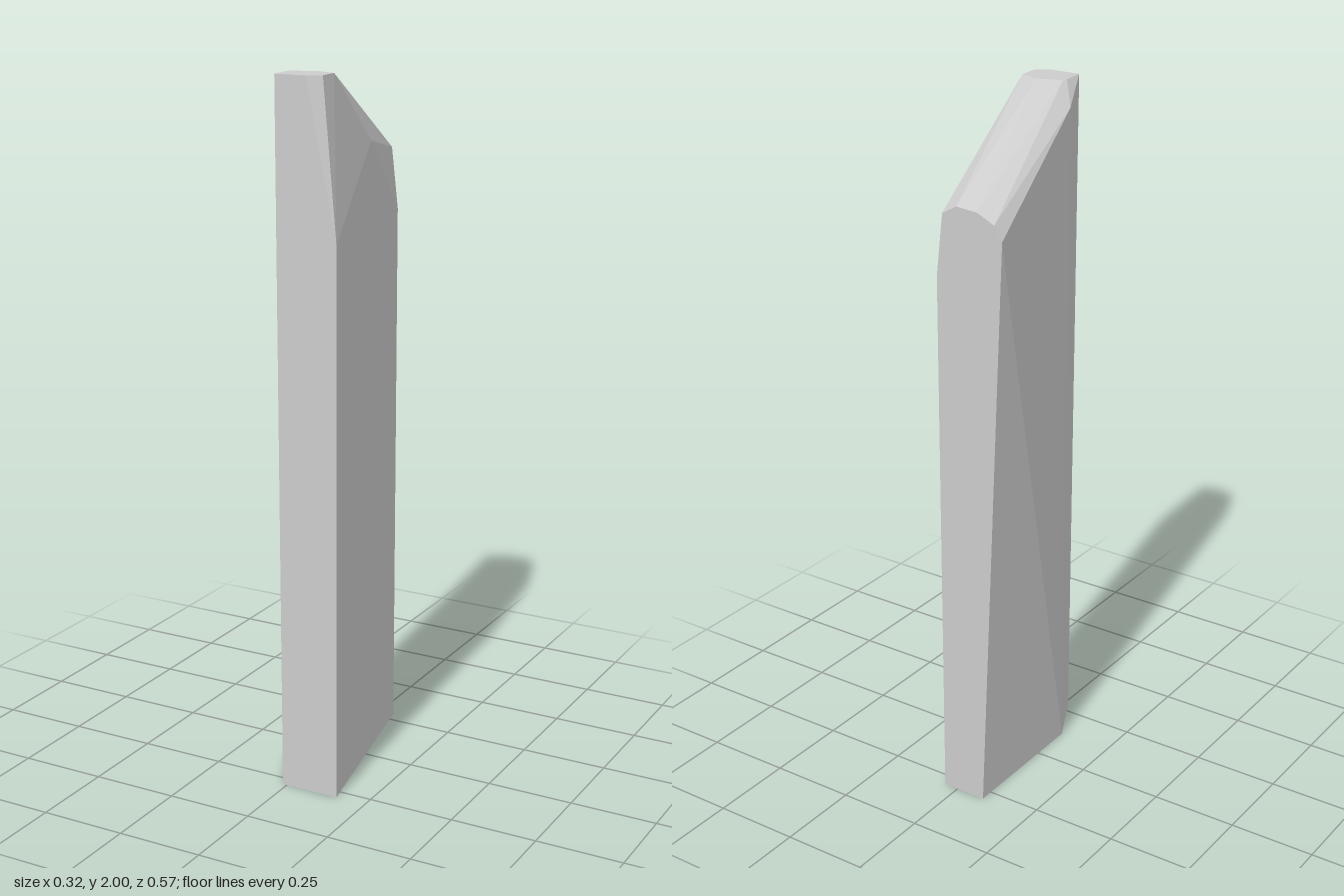
import * as THREE from 'three';
import { ConvexGeometry } from 'three/addons/geometries/ConvexGeometry.js';

export function createModel() {
  const group = new THREE.Group();
  group.name = 'stonePillar';

  // five-sided footprint, as [x, z]
  const base = [[-0.09, -0.29], [0.045, -0.29], [0.16, 0.285], [-0.013, 0.285], [-0.09, 0.13]];

  // rounded outline of the upper back edge, as [x, y]
  const back = [[0.045, 1.57], [0.025, 1.745], [-0.02, 1.77], [-0.085, 1.765], [-0.138, 1.74], [-0.162, 1.7]];

  // small flat cap at the peak, as [x, z]
  const cap = [[-0.022, 0.285], [0.07, 0.285], [0.107, 0.26], [0.104, 0.195], [0.045, 0.173], [-0.025, 0.2], [-0.029, 0.213]];

  // corners where the side faces meet the worn upper bevels
  const shoulders = [[0.16, 1.57, 0.285], [0.1, 1.8, -0.02], [-0.075, 1.94, 0.16]];

  const points = [
    ...base.map(([x, z]) => new THREE.Vector3(x, 0, z)),
    ...back.map(([x, y]) => new THREE.Vector3(x, y, -0.29)),
    ...cap.map(([x, z]) => new THREE.Vector3(x, 2, z)),
    ...shoulders.map((p) => new THREE.Vector3(...p)),
  ];

  // faceted slab enclosing all the corners
  const material = new THREE.MeshStandardMaterial({ color: 0xcccccc, flatShading: true });
  const slab = new THREE.Mesh(new ConvexGeometry(points), material);
  slab.name = 'slab';
  group.add(slab);
  return group;
}
